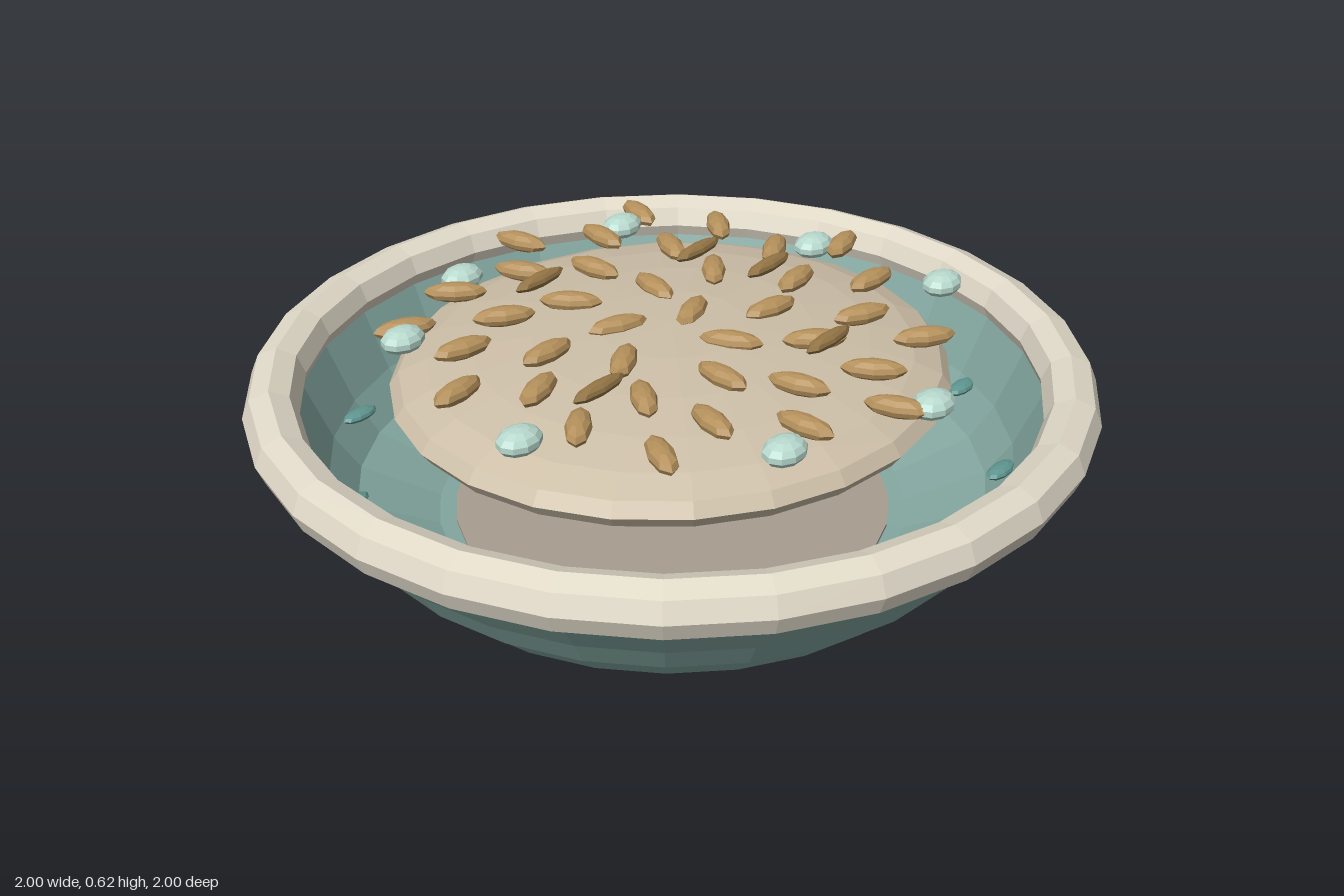
import * as THREE from 'three';

const SIDES = 28;
const GOLDEN = THREE.MathUtils.degToRad(137.5);

function mat(color, side = THREE.FrontSide) {
  return new THREE.MeshStandardMaterial({ color, flatShading: true, roughness: 0.8, side });
}

const CREAM = mat(0xe0d9c8), TAUPE = mat(0xa89e90), GRAIN = mat(0xcdbfa8);
const TEAL = mat(0x84a8a1, THREE.DoubleSide), DARK_TEAL = mat(0x5f9690);
const SEED = mat(0xb5915c), HUSK = mat(0x957646), PEBBLE = mat(0xb9dace);

function add(parent, name, geometry, material, x = 0, y = 0, z = 0) {
  const mesh = new THREE.Mesh(geometry, material);
  mesh.name = name;
  mesh.position.set(x, y, z);
  parent.add(mesh);
  return mesh;
}

function ellipsoid(rx, ry, rz, w, h) {
  return new THREE.SphereGeometry(1, w, h).scale(rx, ry, rz);
}

function subgroup(parent, name) {
  const g = new THREE.Group();
  g.name = name;
  parent.add(g);
  return g;
}

export function createModel() {
  const model = new THREE.Group();
  model.name = 'bowlOfSeeds';

  // Foot: its top shows as a disc in the bowl floor
  add(model, 'foot', new THREE.CylinderGeometry(0.53, 0.53, 0.115, SIDES), TAUPE, 0, 0.0575, 0);

  // Bowl wall with a small outer step, then back down the inside to the floor
  const profile = [
    [0.5, 0.05], [0.565, 0.05], [0.69, 0.096], [0.765, 0.185], [0.785, 0.185],
    [0.835, 0.26], [0.945, 0.4], [0.93, 0.45],
    [0.885, 0.42], [0.82, 0.27], [0.76, 0.187], [0.57, 0.11], [0.5, 0.105],
  ].map(([r, y]) => new THREE.Vector2(r, y));
  add(model, 'bowl', new THREE.LatheGeometry(profile, SIDES), TEAL);

  // Rounded rim
  const rim = new THREE.TorusGeometry(0.935, 0.065, 8, SIDES).rotateX(Math.PI / 2);
  add(model, 'rim', rim, CREAM, 0, 0.447, 0);

  // Grain mound
  add(model, 'mound', ellipsoid(0.68, 0.12, 0.645, 24, 12), GRAIN, 0, 0.47, 0);

  // Studs around the wall
  const studs = subgroup(model, 'studs');
  const studGeo = ellipsoid(0.052, 0.014, 0.024, 10, 6);
  for (let i = 0; i < 12; i++) {
    const a = (i * Math.PI) / 6;
    add(studs, 'stud', studGeo, DARK_TEAL, 0.785 * Math.cos(a), 0.267, 0.785 * Math.sin(a));
  }

  // Seeds in a sunflower spiral, each turned with its place in the spiral
  const seeds = subgroup(model, 'seeds');
  const seedGeo = ellipsoid(0.076, 0.024, 0.03, 8, 6);
  for (let i = 0; i < 38; i++) {
    const a = i * GOLDEN, r = 0.104 * Math.sqrt(i + 0.5);
    const seed = add(seeds, 'seed', seedGeo, SEED, r * Math.cos(a), 0.59, -r * Math.sin(a));
    seed.rotation.y = a + 0.35;
  }

  // Slim darker husks between the seeds
  const husks = subgroup(model, 'husks');
  const huskGeo = ellipsoid(0.084, 0.018, 0.021, 8, 6);
  for (const [x, z] of [[-0.05, -0.375], [0.33, -0.19], [0.37, 0], [-0.365, 0.095], [0.14, 0.345]]) {
    add(husks, 'husk', huskGeo, HUSK, x, 0.603, z);
  }

  // Pale pebbles near the edge
  const pebbles = subgroup(model, 'pebbles');
  const pebbleGeo = ellipsoid(0.057, 0.03, 0.045, 10, 7);
  const spots = [
    [-0.14, -0.55], [-0.46, -0.42], [0.34, -0.45], [0.56, 0],
    [0.58, 0.37], [0.06, 0.68], [-0.3, 0.55], [-0.62, 0.1],
  ];
  for (const [x, z] of spots) add(pebbles, 'pebble', pebbleGeo, PEBBLE, x, 0.59, z);

  return model;
}
